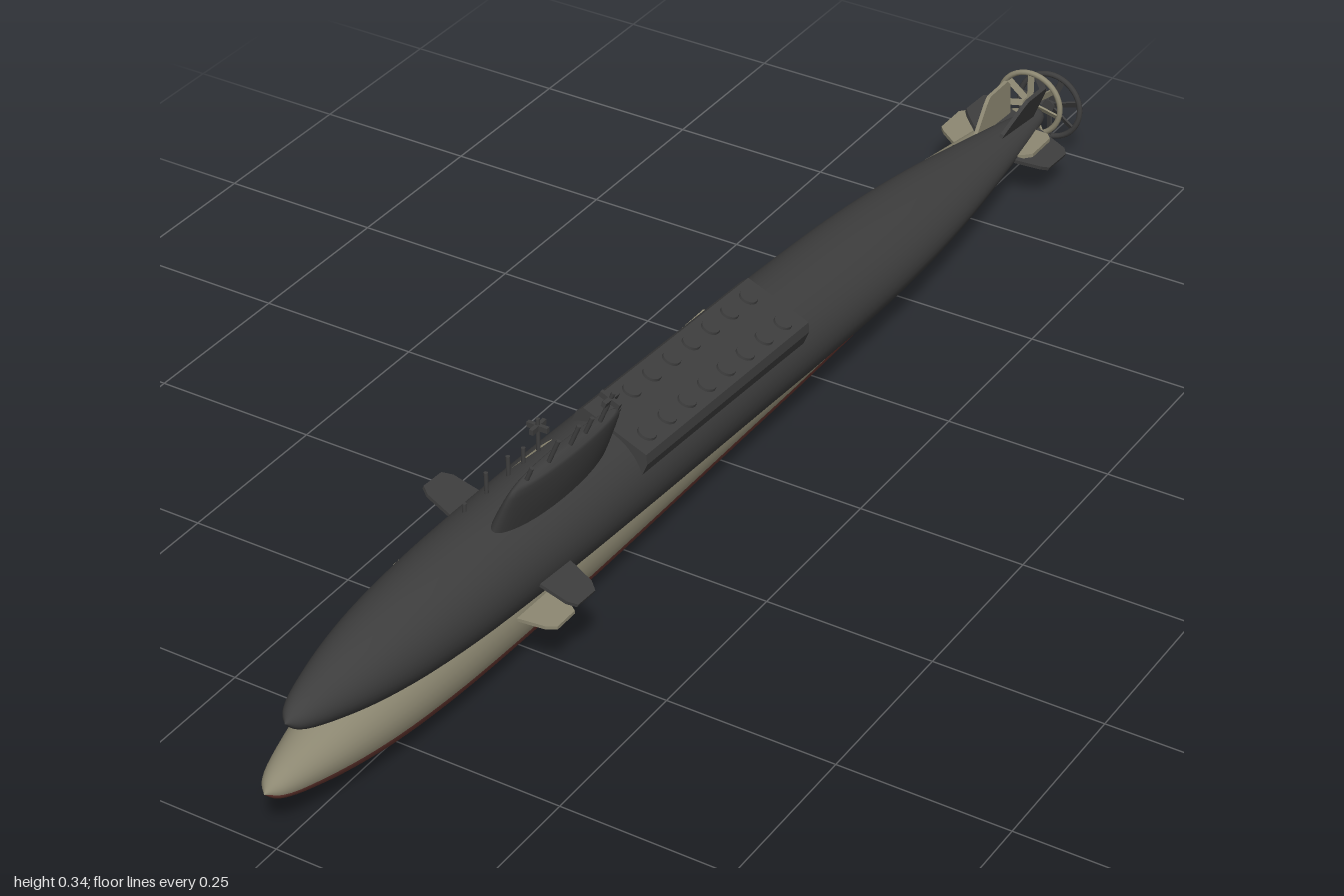
import * as THREE from 'three';

const mat = (name, color) => {
  const m = new THREE.MeshStandardMaterial({ color });
  m.name = name;
  return m;
};

function add(parent, name, geometry, material) {
  const mesh = new THREE.Mesh(geometry, material);
  mesh.name = name;
  parent.add(mesh);
  return mesh;
}

// Hull stations: half width (also keel depth), deck height, z
const STATIONS = [
  [0, 0, 1], [0.018, 0.017, 0.98], [0.04, 0.037, 0.91], [0.059, 0.056, 0.81],
  [0.071, 0.069, 0.68], [0.077, 0.075, 0.5], [0.079, 0.076, 0.3], [0.079, 0.073, 0],
  [0.079, 0.066, -0.2], [0.075, 0.056, -0.42], [0.062, 0.044, -0.6], [0.038, 0.026, -0.79],
  [0.019, 0.014, -0.91], [0.011, 0.01, -0.945], [0, 0, -0.95],
].map(p => new THREE.Vector3(...p));

// Lofted hull; group 0 is above the waterline, group 1 below it
function hullGeometry() {
  const rows = 72, seg = 36, wet = 22;
  const curve = new THREE.CatmullRomCurve3(STATIONS);
  const pos = [], upper = [], lower = [];
  for (let i = 0; i <= rows; i++) {
    const p = curve.getPoint(i / rows);
    for (let j = 0; j < seg; j++) {
      const a = THREE.MathUtils.degToRad(j * 10 - 20);
      const s = Math.sin(a);
      pos.push(p.x * Math.cos(a), s * (s > 0 ? p.y : p.x), p.z);
    }
  }
  for (let i = 0; i < rows; i++) {
    for (let j = 0; j < seg; j++) {
      const k = (j + 1) % seg, n = i * seg, m = n + seg;
      (j < wet ? upper : lower).push(n + j, m + j, m + k, n + j, m + k, n + k);
    }
  }
  const g = new THREE.BufferGeometry();
  g.setAttribute('position', new THREE.Float32BufferAttribute(pos, 3));
  g.setIndex([...upper, ...lower]);
  g.addGroup(0, upper.length, 0);
  g.addGroup(upper.length, lower.length, 1);
  g.computeVertexNormals();
  return g;
}

// Flat plate outlined in (span, z)
function plate(points, thickness) {
  const shape = new THREE.Shape(points.map(p => new THREE.Vector2(...p)));
  return new THREE.ExtrudeGeometry(shape, { depth: thickness, bevelEnabled: false })
    .translate(0, 0, -thickness / 2).rotateX(Math.PI / 2);
}

// Sail: a long rounded tower that narrows upward
function sailGeometry() {
  const profile = [[1, 0.05], [1, 0.09], [1, 0.115], [0.99, 0.132], [0.95, 0.142], [0.85, 0.147], [0, 0.149]]
    .map(p => new THREE.Vector2(...p));
  const g = new THREE.LatheGeometry(profile, 40);
  const p = g.attributes.position;
  for (let i = 0; i < p.count; i++) {
    const narrow = 1 - 0.55 * Math.pow((p.getY(i) - 0.05) / 0.1, 2);
    p.setXYZ(i, p.getX(i) * 0.025 * narrow, p.getY(i), 0.465 + p.getZ(i) * 0.13);
  }
  g.computeVertexNormals();
  return g;
}

function submarine(name, paint, underside, mastPaint) {
  const sub = new THREE.Group();
  sub.name = name;
  add(sub, 'hull', hullGeometry(), [paint, underside]);
  add(sub, 'sail', sailGeometry(), paint);

  // Raised missile deck with two rows of hatches
  const section = new THREE.Shape([[-0.06, 0.04], [0.06, 0.04], [0.06, 0.068], [0.053, 0.081],
    [-0.053, 0.081], [-0.06, 0.068]].map(p => new THREE.Vector2(...p)));
  add(sub, 'missileDeck', new THREE.ExtrudeGeometry(section, { depth: 0.42, bevelEnabled: false })
    .translate(0, 0, -0.105), paint);
  for (let i = 0; i < 8; i++) {
    for (const side of [-1, 1]) {
      add(sub, 'hatch', new THREE.CylinderGeometry(0.013, 0.014, 0.006, 16), paint)
        .position.set(side * 0.03, 0.082, 0.28 - i * 0.05);
    }
  }

  // Masts above the sail, the tallest with a crossed head
  for (const [z, top] of [[0.56, 0.168], [0.51, 0.186], [0.46, 0.182], [0.425, 0.175], [0.39, 0.2]]) {
    const h = top - 0.12;
    add(sub, 'mast', new THREE.CylinderGeometry(0.003, 0.003, h, 10), mastPaint)
      .position.set(0, 0.12 + h / 2, z);
  }
  add(sub, 'mastCrossbar', new THREE.BoxGeometry(0.032, 0.008, 0.006), mastPaint).position.set(0, 0.187, 0.39);
  add(sub, 'mastCrossbar', new THREE.BoxGeometry(0.006, 0.008, 0.032), mastPaint).position.set(0, 0.187, 0.39);

  // Bow planes
  for (const turn of [0, Math.PI]) {
    const plane = add(sub, 'bowPlane', plate([[0.05, 0.485], [0.115, 0.495], [0.128, 0.505],
      [0.128, 0.545], [0.115, 0.553], [0.05, 0.56]], 0.005), paint);
    plane.position.y = 0.012;
    plane.rotation.z = turn;
  }

  // Tail fins in a cross
  for (let i = 0; i < 4; i++) {
    add(sub, 'tailFin', plate([[0, -0.915], [0.07, -0.91], [0.079, -0.9], [0.079, -0.845],
      [0.07, -0.835], [0.03, -0.805], [0, -0.8]], 0.006), paint).rotation.z = i * Math.PI / 2;
  }

  // Ringed propeller
  const prop = new THREE.Group();
  prop.name = 'propeller';
  prop.position.z = -0.985;
  add(prop, 'propellerRing', new THREE.TorusGeometry(0.052, 0.0045, 8, 40), paint);
  add(prop, 'propellerHub', new THREE.CylinderGeometry(0.01, 0.01, 0.012, 16).rotateX(Math.PI / 2), paint);
  for (let i = 0; i < 7; i++) {
    const blade = add(prop, 'propellerBlade',
      new THREE.BoxGeometry(0.01, 0.044, 0.003).rotateY(0.5).translate(0, 0.029, 0), paint);
    blade.rotation.z = i * Math.PI * 2 / 7;
  }
  sub.add(prop);
  return sub;
}

export function createModel() {
  const model = new THREE.Group();
  model.name = 'submarines';
  const dark = mat('darkGrey', 0x3e3e3e);
  const beige = mat('beigeGrey', 0x8d8872);
  const red = mat('rustRed', 0x6b3a33);

  // Level submarine with a red underside
  const lowerSub = submarine('lowerSubmarine', beige, red, dark);
  lowerSub.position.set(-0.013, 0.08, 0);
  model.add(lowerSub);

  // Second submarine, pitched up about its tail and rolled to its left
  const pivot = new THREE.Group();
  pivot.name = 'upperSubmarineTilt';
  pivot.position.set(0.016, 0.081, -0.98);
  pivot.rotation.set(-0.056, 0, -0.377);
  const upperSub = submarine('upperSubmarine', dark, dark, dark);
  upperSub.position.z = 0.97;
  pivot.add(upperSub);
  model.add(pivot);
  return model;
}
